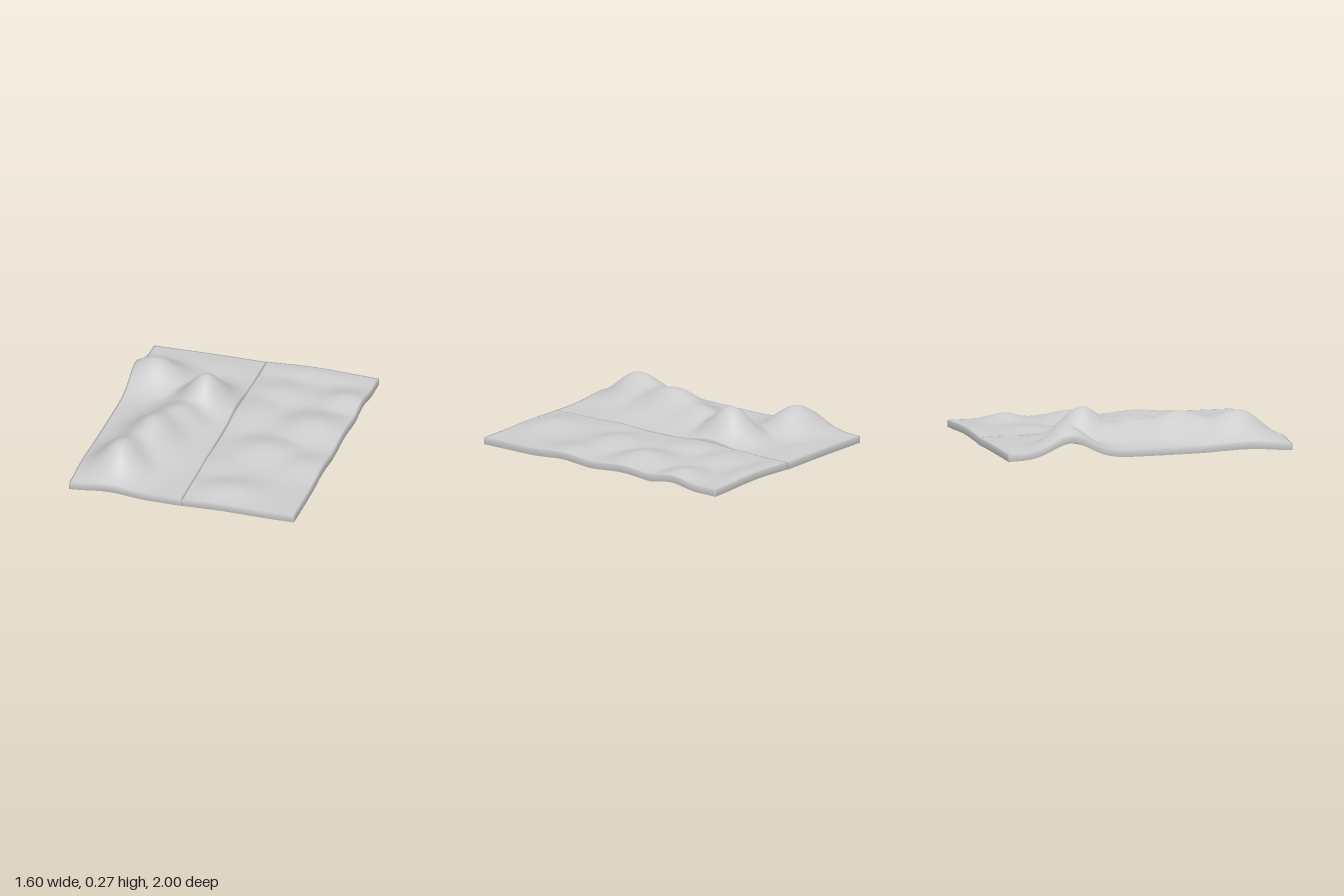
import * as THREE from 'three';

const BASE = 0.047;       // thickness of the sheet
const NX = 64, NZ = 140;  // grid cells per panel

// Each hill: x, z, height, spread in x, spread toward the back, spread toward the front
const mountains = [
  [-0.52, 0.70, 0.205, 0.13, 0.22, 0.145],
  [-0.41, 0.30, 0.195, 0.14, 0.22, 0.22],
  [-0.32, 0.00, 0.135, 0.13, 0.18, 0.18],
  [-0.23, -0.33, 0.225, 0.12, 0.14, 0.14],
  [-0.66, -0.55, 0.166, 0.155, 0.135, 0.13],
  [-0.35, -0.85, 0.012, 0.25, 0.1, 0.1],
];
const lowHills = [
  [0.28, 0.80, 0.046, 0.15, 0.12, 0.10],
  [0.36, 0.20, 0.056, 0.15, 0.13, 0.13],
  [0.57, -0.20, 0.072, 0.15, 0.14, 0.14],
  [0.12, -0.30, 0.040, 0.12, 0.16, 0.16],
  [0.66, 0.32, 0.036, 0.13, 0.12, 0.12],
  [0.68, -0.62, 0.054, 0.12, 0.10, 0.10],
  [0.22, -0.60, 0.035, 0.16, 0.12, 0.12],
  [0.10, 0.45, 0.020, 0.12, 0.14, 0.14],
  [0.35, -0.93, 0.026, 0.22, 0.08, 0.08],
];

// Blend the hills softly, close to taking the highest one
function relief(hills, x, z) {
  let sum = 0;
  for (const [hx, hz, h, sx, sBack, sFront] of hills) {
    const u = (x - hx) / sx, v = (z - hz) / (z < hz ? sBack : sFront);
    sum += (h * Math.exp(-(u * u + v * v) / 2)) ** 3;
  }
  return Math.cbrt(sum);
}

// Sheet of constant thickness: top and underside both follow the relief
function panel(name, x0, x1, hills) {
  const pos = [], index = [];
  const row = NX + 1, layer = row * (NZ + 1);
  for (const lift of [BASE, 0])
    for (let j = 0; j <= NZ; j++)
      for (let i = 0; i <= NX; i++) {
        const x = x0 + (x1 - x0) * i / NX, z = -1 + 2 * j / NZ;
        pos.push(x, relief(hills, x, z) + lift, z);
      }
  const quad = (a, b, c, d) => index.push(a, b, c, a, c, d);
  const at = (i, j) => j * row + i;
  // Top and underside
  for (let j = 0; j < NZ; j++)
    for (let i = 0; i < NX; i++) {
      const a = at(i, j), b = at(i, j + 1), c = at(i + 1, j + 1), d = at(i + 1, j);
      quad(a, b, c, d);
      quad(a + layer, d + layer, c + layer, b + layer);
    }
  // Rim walls
  const wall = (a, b) => quad(a, a + layer, b + layer, b);
  for (let i = 0; i < NX; i++) {
    wall(at(i, NZ), at(i + 1, NZ));
    wall(at(i + 1, 0), at(i, 0));
  }
  for (let j = 0; j < NZ; j++) {
    wall(at(0, j), at(0, j + 1));
    wall(at(NX, j + 1), at(NX, j));
  }
  const geo = new THREE.BufferGeometry();
  geo.setAttribute('position', new THREE.Float32BufferAttribute(pos, 3));
  geo.setIndex(index);
  geo.computeVertexNormals();
  const mesh = new THREE.Mesh(geo, new THREE.MeshStandardMaterial({ color: 0xcccccc }));
  mesh.name = name;
  return mesh;
}

export function createModel() {
  const group = new THREE.Group();
  group.name = 'reliefTerrain';
  group.add(panel('mountainPanel', -0.8, 0, mountains));
  group.add(panel('lowHillPanel', 0, 0.8, lowHills));
  return group;
}
